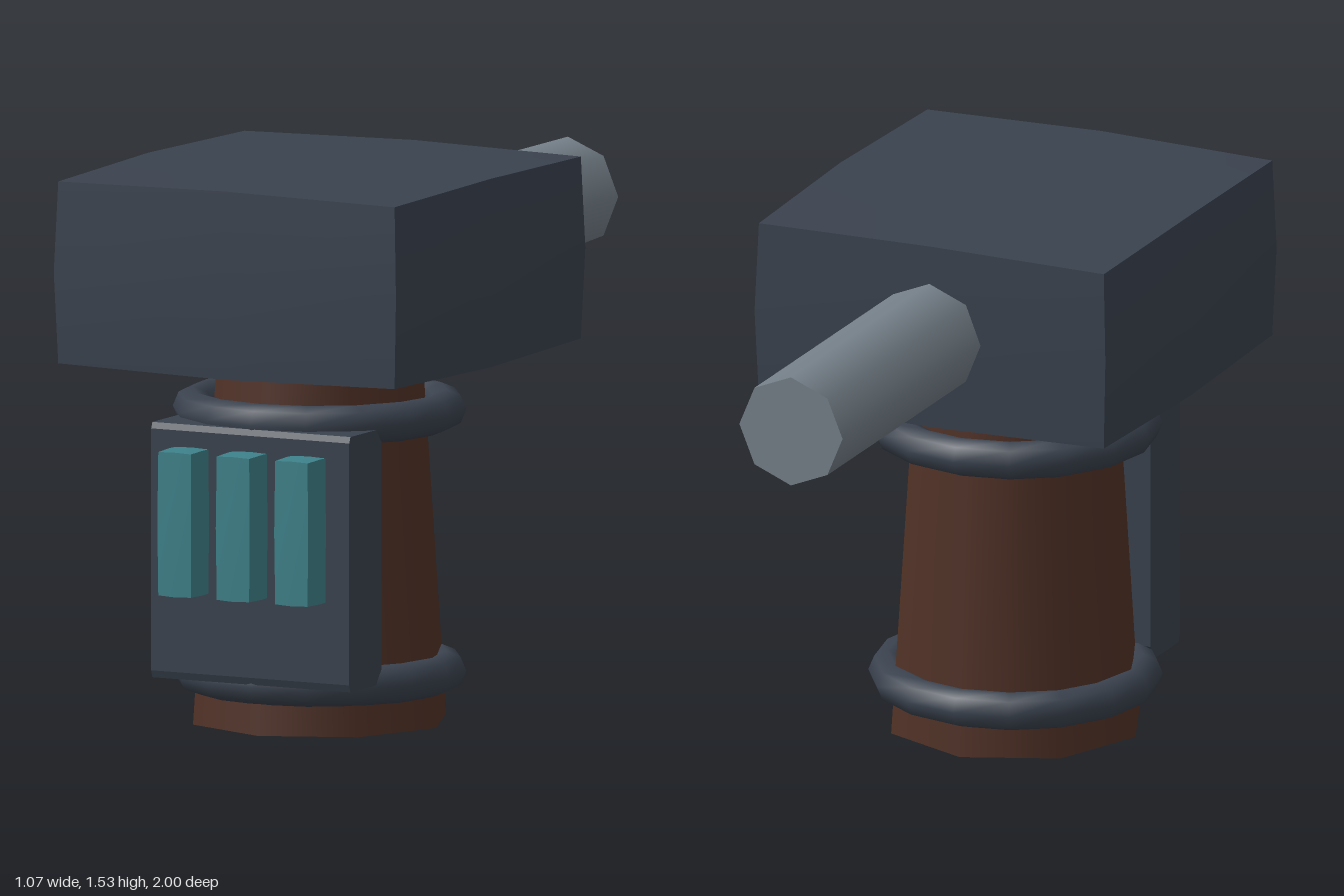
import * as THREE from 'three';

const mat = (name, color, side = THREE.FrontSide) => {
  const m = new THREE.MeshStandardMaterial({ color, side });
  m.name = name;
  return m;
};

// Box whose edge middles and face centres swell outwards.
function bulgedBox(w, h, d, bulge) {
  const geo = new THREE.BoxGeometry(w, h, d, 2, 2, 2);
  const p = geo.attributes.position;
  for (let i = 0; i < p.count; i++) {
    const c = [p.getX(i), p.getY(i), p.getZ(i)];
    const middles = c.filter((v) => Math.abs(v) < 1e-6).length;
    const out = c.map((v) => (Math.abs(v) < 1e-6 ? 0 : v + Math.sign(v) * bulge * middles / 2));
    p.setXYZ(i, ...out);
  }
  geo.computeVertexNormals();
  return geo;
}

export function createModel() {
  const model = new THREE.Group();
  model.name = 'hammer';
  const slate = mat('dark slate', 0x3a424e);
  const steel = mat('steel grey', 0x76818a);
  const brown = mat('brown grip', 0x503126);
  const teal = mat('teal', 0x3e828b);
  const axisZ = 0.44; // centre line of the grip

  const add = (name, geo, material, x, y, z) => {
    const mesh = new THREE.Mesh(geo, material);
    mesh.name = name;
    mesh.position.set(x, y, z);
    model.add(mesh);
    return mesh;
  };

  // Tapered eight-sided grip
  add('grip', new THREE.CylinderGeometry(0.293, 0.36, 0.99, 8), brown, 0, 0.495, axisZ);

  // Rings around the grip
  for (const [name, y] of [['lowerRing', 0.138], ['upperRing', 0.857]]) {
    add(name, new THREE.TorusGeometry(0.347, 0.054, 8, 16), slate, 0, y, axisZ).rotation.x = Math.PI / 2;
  }

  // Swollen block on top
  add('headBlock', bulgedBox(1.036, 0.5, 1.08, 0.018), slate, 0, 1.262, axisZ);

  // Eight-sided rod out of the back
  add('rod', new THREE.CylinderGeometry(0.155, 0.155, 1, 8), steel, 0, 1.26, -0.5).rotation.x = Math.PI / 2;

  // Front plate: side profile (z, y) with cut corners, extruded across x
  const profile = new THREE.Shape([
    [0.835, 0.145], [0.842, 0.165], [0.842, 0.83], [0.835, 0.847],
    [0.685, 0.847], [0.655, 0.81], [0.655, 0.185], [0.685, 0.145],
  ].map(([z, y]) => new THREE.Vector2(-z, y)));
  const plate = new THREE.ExtrudeGeometry(profile, { depth: 0.61, bevelEnabled: false });
  plate.translate(0, 0, -0.305).rotateY(Math.PI / 2);
  add('frontPlate', plate, slate, 0, 0, 0);

  // Three upright bars on the plate
  for (const x of [-0.18, 0, 0.18]) {
    add('bar', bulgedBox(0.1, 0.394, 0.14, 0.004), teal, x, 0.586, 0.872);
  }
  return model;
}
